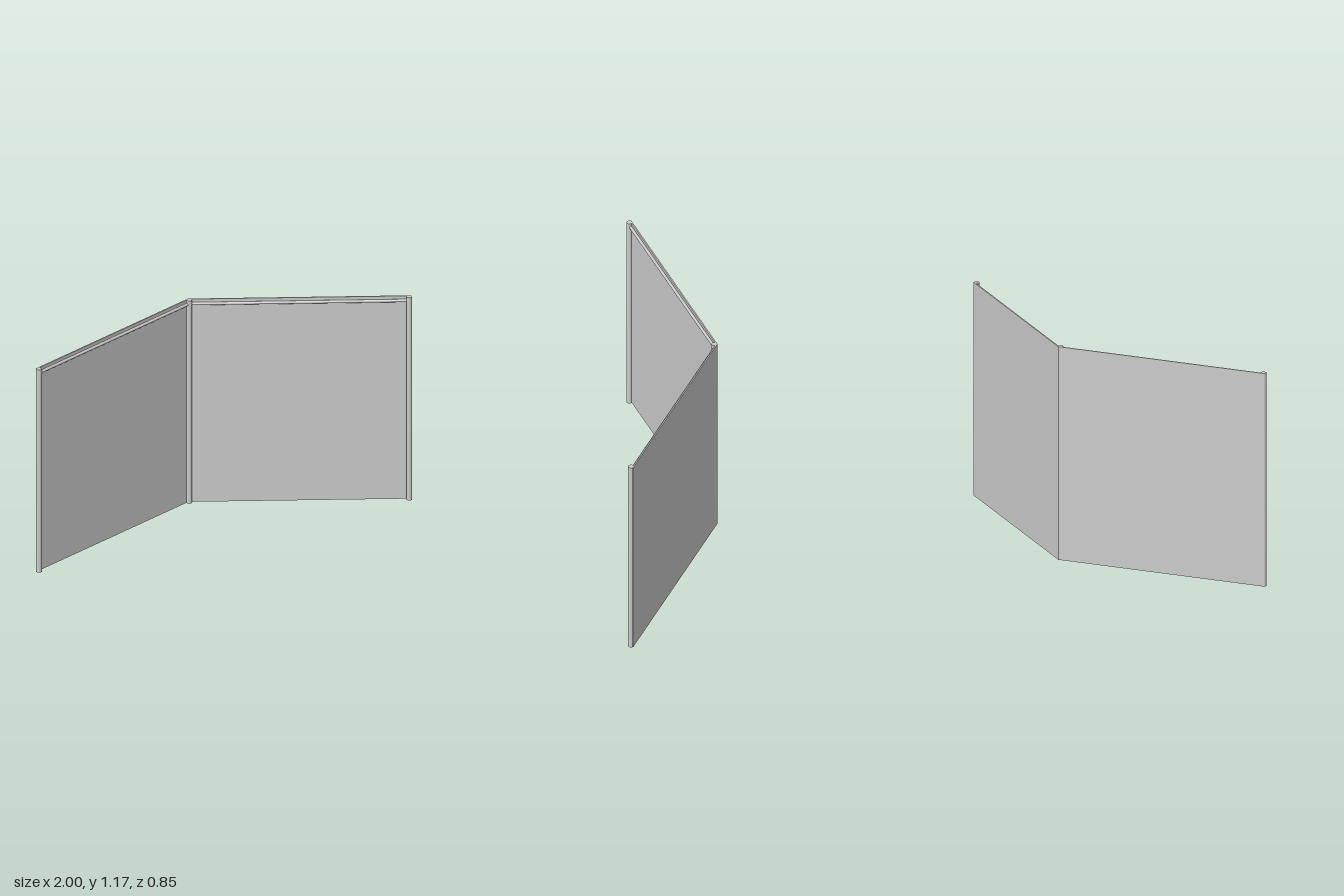
import * as THREE from 'three';

const HEIGHT = 1.175, LENGTH = 1.153, POST_R = 0.015;
const BACK = -POST_R, FRONT = -0.008; // wall faces relative to the post line
const MITRE = Math.tan(Math.PI / 8);

const material = new THREE.MeshStandardMaterial({ color: 0xcccccc });

function addMesh(parent, name, geometry, x = 0, y = 0, z = 0) {
  const mesh = new THREE.Mesh(geometry, material);
  mesh.name = name;
  mesh.position.set(x, y, z);
  parent.add(mesh);
  return mesh;
}

const postGeometry = new THREE.CylinderGeometry(POST_R, POST_R, HEIGHT, 24);

// One wall leaf running from the corner post along side * x, its front facing +z
function makeLeaf(name, side) {
  const leaf = new THREE.Group();
  leaf.name = name;

  // thin sheet, mitred where the two leaves meet
  const end = LENGTH + 0.008;
  const plan = new THREE.Shape([
    [BACK * MITRE, BACK], [end, BACK], [end, FRONT], [FRONT * MITRE, FRONT],
  ].map(([x, z]) => new THREE.Vector2(side * x, -z)));
  const sheet = new THREE.ExtrudeGeometry(plan, { depth: HEIGHT, bevelEnabled: false });
  sheet.rotateX(-Math.PI / 2);
  addMesh(leaf, 'wallPanel', sheet);

  // round rail just below the top edge
  const rail = new THREE.CylinderGeometry(0.008, 0.008, LENGTH, 16);
  rail.rotateZ(Math.PI / 2);
  addMesh(leaf, 'topRail', rail, side * LENGTH / 2, 1.151, -0.002);

  addMesh(leaf, 'endPost', postGeometry, side * LENGTH, HEIGHT / 2, 0);
  return leaf;
}

export function createModel() {
  const model = new THREE.Group();
  model.name = 'cornerWall';

  const corner = new THREE.Group();
  corner.name = 'wallAssembly';
  corner.position.set(-0.168, 0, -0.407);
  model.add(corner);

  addMesh(corner, 'cornerPost', postGeometry, 0, HEIGHT / 2, 0);
  corner.add(makeLeaf('straightWall', 1));
  const angled = makeLeaf('angledWall', -1);
  angled.rotation.y = Math.PI / 4;
  corner.add(angled);

  return model;
}
